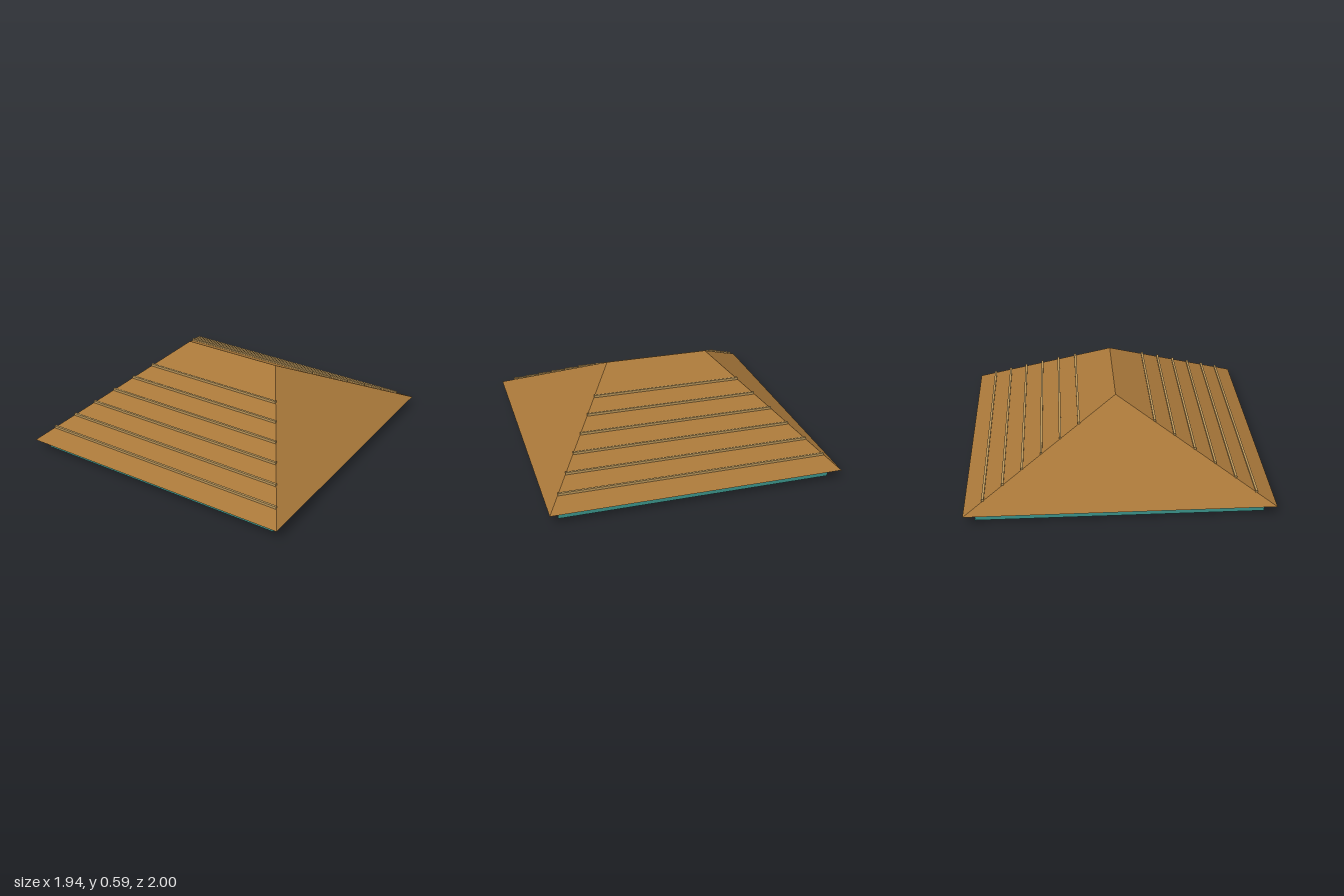
import * as THREE from 'three';

const EAVE_X = 0.968, EAVE_Z = 1, EAVE_Y = 0.07, RIDGE_X = 0.355, RIDGE_Y = 0.586;

const material = (name, color) => {
  const m = new THREE.MeshStandardMaterial({ color });
  m.name = name;
  return m;
};

// Closed hip roof with hard edges
function hipRoofGeometry() {
  const a = [-EAVE_X, EAVE_Y, EAVE_Z], b = [EAVE_X, EAVE_Y, EAVE_Z];
  const c = [EAVE_X, EAVE_Y, -EAVE_Z], d = [-EAVE_X, EAVE_Y, -EAVE_Z];
  const l = [-RIDGE_X, RIDGE_Y, 0], r = [RIDGE_X, RIDGE_Y, 0];
  const faces = [
    a, b, r, a, r, l, // front slope
    c, d, l, c, l, r, // back slope
    b, c, r, d, a, l, // hipped ends
    a, d, c, a, c, b, // underside
  ];
  const geometry = new THREE.BufferGeometry();
  geometry.setAttribute('position', new THREE.Float32BufferAttribute(faces.flat(), 3));
  geometry.computeVertexNormals();
  return geometry;
}

export function createModel() {
  const model = new THREE.Group();
  model.name = 'hipRoof';
  const roofBrown = material('roof brown', 0xa87739);
  const battenTan = material('batten tan', 0xb8955a);
  const ceilingBrown = material('ceiling dark brown', 0x5a3a22);
  const beamTeal = material('beam teal', 0x3a9188);

  const add = (name, geometry, mat, x = 0, y = 0, z = 0) => {
    const mesh = new THREE.Mesh(geometry, mat);
    mesh.name = name;
    mesh.position.set(x, y, z);
    model.add(mesh);
  };
  const box = (name, mat, w, h, d, x, y, z) =>
    add(name, new THREE.BoxGeometry(w, h, d), mat, x, y, z);

  add('roof', hipRoofGeometry(), roofBrown);

  // Ceiling board between the roof and the beams
  box('ceiling', ceilingBrown, 1.812, 0.011, 1.862, 0, 0.0645, 0);

  for (const side of [-1, 1]) {
    // Ring of beams under the eaves
    box(side > 0 ? 'frontBeam' : 'backBeam', beamTeal, 1.81, 0.06, 0.045, 0, 0.03, side * 0.9075);
    box(side > 0 ? 'leftBeam' : 'rightBeam', beamTeal, 0.045, 0.06, 1.77, side * 0.8825, 0.03, 0);

    // Horizontal battens, each as long as the slope at its height
    for (let i = 2; i <= 7; i++) {
      const t = i / 8;
      const y = THREE.MathUtils.lerp(RIDGE_Y, EAVE_Y, t);
      const halfLength = THREE.MathUtils.lerp(RIDGE_X, EAVE_X, t);
      box('batten', battenTan, halfLength * 2, 0.016, 0.015, 0, y + 0.006, side * t * EAVE_Z);
    }
  }
  return model;
}
